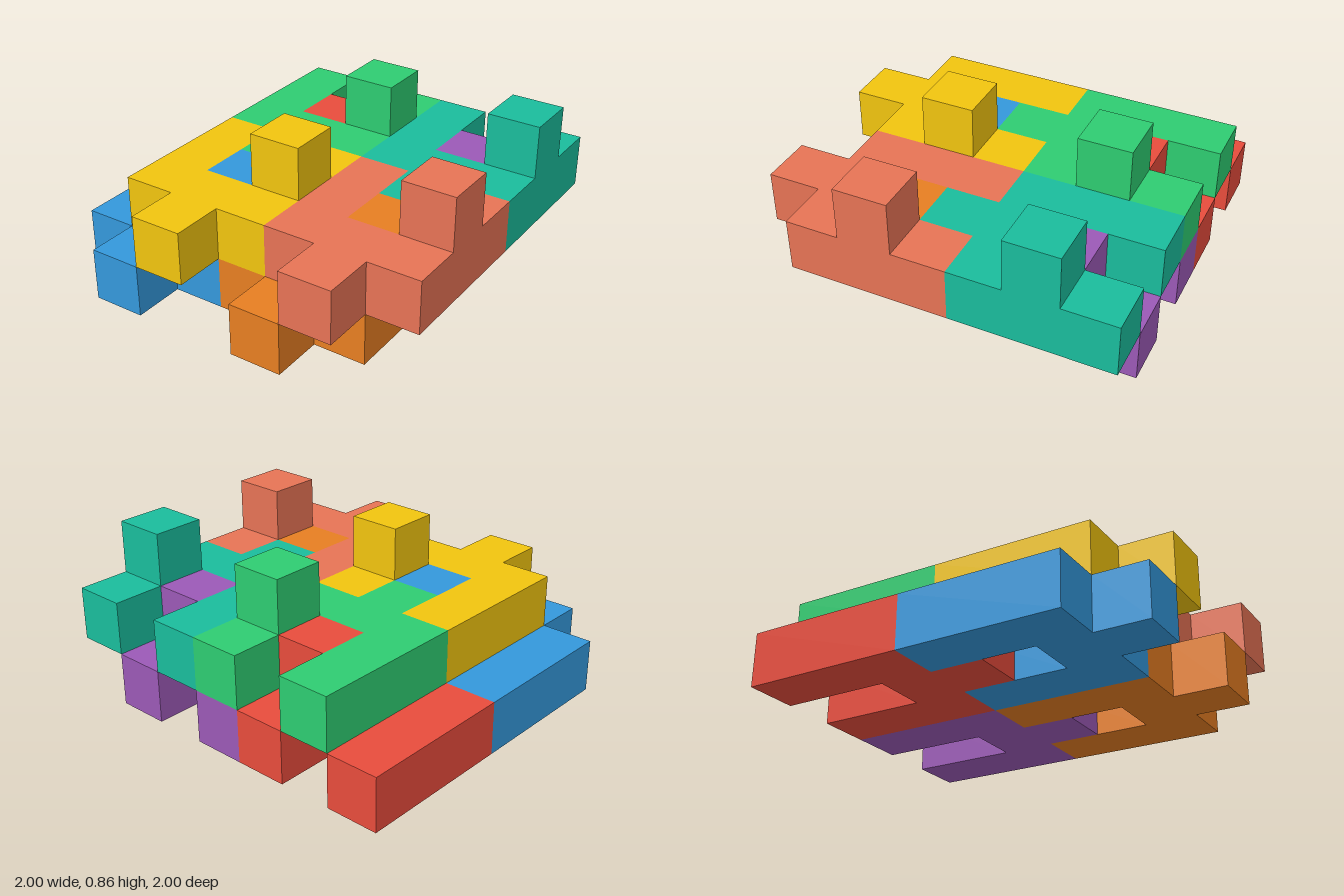
import * as THREE from 'three';

const U = 2 / 7; // one cube cell

// Plate outline in cells: two prongs at the back, one tab at the front
const OUTLINE = [
  [0, 0], [1, 0], [1, 2], [2, 2], [2, 0], [3, 0],
  [3, 3], [2, 3], [2, 4], [1, 4], [1, 3], [0, 3],
];

// One interlocking piece: a flat forked plate with a cube knob on its left prong
function makePiece(name, color, col, row, level) {
  const piece = new THREE.Group();
  piece.name = name;
  const material = new THREE.MeshStandardMaterial({ color, flatShading: true });

  const shape = new THREE.Shape(OUTLINE.map(([x, z]) => new THREE.Vector2(x * U, z * U)));
  const plateGeometry = new THREE.ExtrudeGeometry(shape, { depth: U, bevelEnabled: false });
  plateGeometry.rotateX(Math.PI / 2).translate(0, U, 0);
  const plate = new THREE.Mesh(plateGeometry, material);
  plate.name = 'plate';

  const knob = new THREE.Mesh(new THREE.BoxGeometry(U, U, U), material);
  knob.name = 'knob';
  knob.position.set(2.5 * U, 1.5 * U, 1.5 * U);

  piece.add(plate, knob);
  piece.position.set(-1 + col * U, level * U, -1 + row * U);
  return piece;
}

export function createModel() {
  const model = new THREE.Group();
  model.name = 'interlockingPuzzle';

  // Two layers of four pieces; the upper layer sits one cell to the left
  const layers = [
    { label: 'lower', colors: [0xe74c3c, 0x9b59b6, 0x3498db, 0xe67e22] },
    { label: 'upper', colors: [0x2ecc71, 0x1abc9c, 0xf1c40f, 0xe67355] },
  ];
  const places = ['BackRight', 'BackLeft', 'FrontRight', 'FrontLeft'];
  layers.forEach(({ label, colors }, level) => {
    colors.forEach((color, i) => {
      const col = (i % 2) * 3 + level;
      const row = Math.floor(i / 2) * 3;
      model.add(makePiece(`${label}${places[i]}Piece`, color, col, row, level));
    });
  });
  return model;
}
